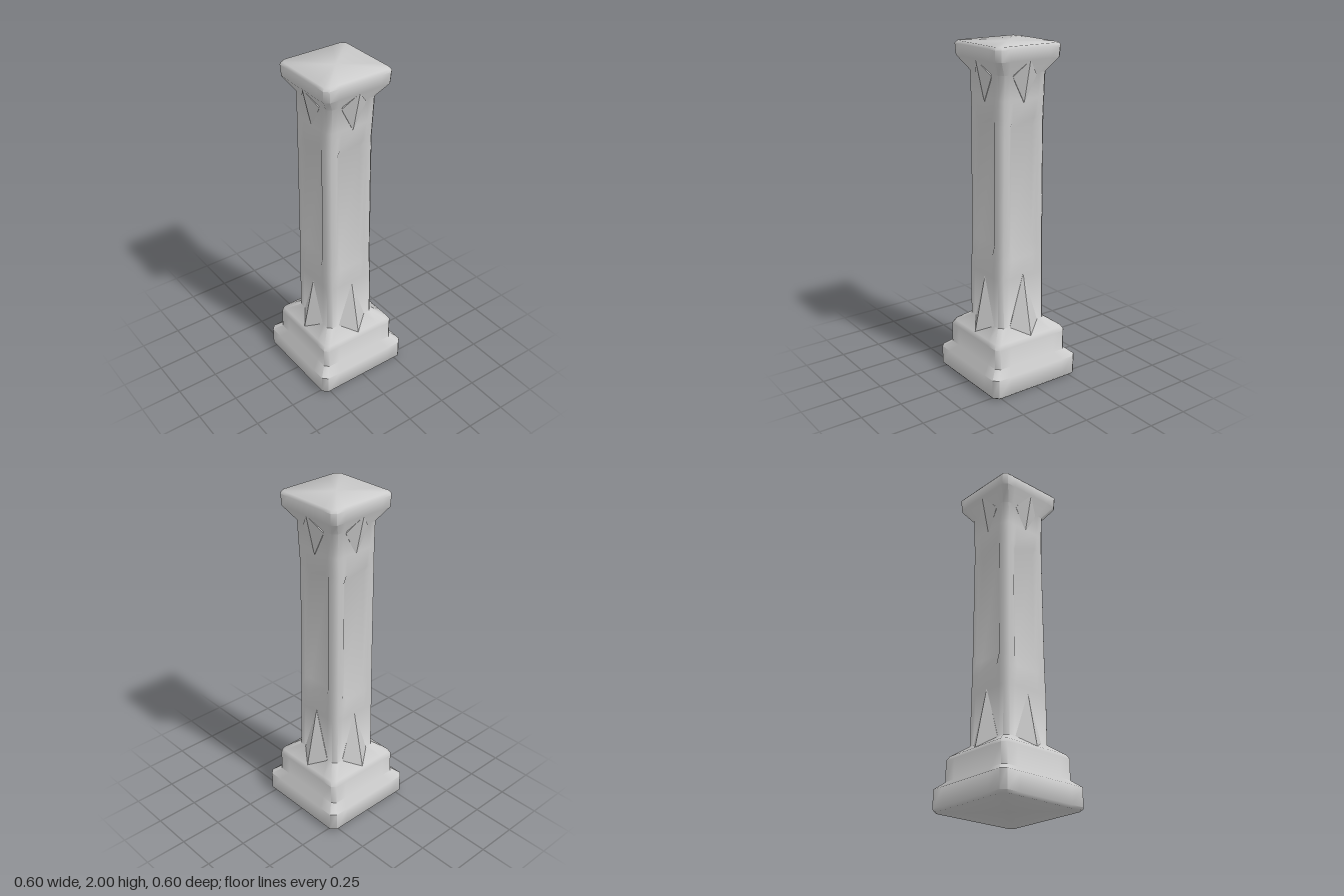
import * as THREE from 'three';
import { toCreasedNormals } from 'three/addons/utils/BufferGeometryUtils.js';
import { ConvexGeometry } from 'three/addons/geometries/ConvexGeometry.js';

// Rings from bottom to top: [y, half width, corner cut, panel depth, x offset, z offset]
const RINGS = [
  [0.00, 0.287, 0.028, 0, 0, 0],
  [0.015, 0.30, 0.028, 0, 0, 0],
  [0.125, 0.30, 0.028, 0, 0, 0],
  [0.165, 0.252, 0.024, 0, 0, 0],
  [0.285, 0.252, 0.024, 0, 0, 0],
  [0.31, 0.238, 0.024, 0, 0, 0],
  [0.365, 0.163, 0.024, 0, 0.002, 0.003],
  [0.66, 0.161, 0.024, 0, 0.002, 0.005],
  [0.78, 0.159, 0.024, 0, 0, 0.006],
  [0.86, 0.158, 0.024, 0.018, 0, 0.006],
  [1.54, 0.155, 0.024, 0.018, -0.003, 0.006],
  [1.59, 0.155, 0.024, 0, -0.003, 0.006],
  [1.70, 0.157, 0.024, 0, -0.002, 0.003],
  [1.84, 0.16, 0.024, 0, -0.001, 0.001],
  [1.92, 0.215, 0.024, 0, 0, 0],
  [1.985, 0.219, 0.024, 0, 0, 0],
  [2.00, 0.208, 0.022, 0, 0, 0],
];

// Square outline with cut corners and a shallow recess in the middle of each side
function ringPoints([y, half, cut, depth, ox, oz]) {
  const side = [
    [-(half - cut), half],
    [-half * 0.62, half],
    [-half * 0.46, half - depth],
    [half * 0.46, half - depth],
    [half * 0.62, half],
    [half - cut, half],
  ];
  const points = [];
  for (let k = 0; k < 4; k++) {
    const c = Math.round(Math.cos(k * Math.PI / 2)), s = Math.round(Math.sin(k * Math.PI / 2));
    for (const [a, b] of side) points.push([a * c + b * s + ox, y, b * c - a * s + oz]);
  }
  return points;
}

// Skin the rings and close both ends
function columnGeometry() {
  const rings = RINGS.map(ringPoints);
  const n = rings[0].length;
  const positions = rings.flat(2);
  const index = [];
  for (let r = 0; r < rings.length - 1; r++) {
    for (let i = 0; i < n; i++) {
      const a = r * n + i, b = r * n + (i + 1) % n;
      index.push(a, b, b + n, a, b + n, a + n);
    }
  }
  const bottom = positions.length / 3, top = bottom + 1, last = (rings.length - 1) * n;
  positions.push(0, 0, 0, 0, 2, 0);
  for (let i = 0; i < n; i++) {
    const j = (i + 1) % n;
    index.push(bottom, j, i, top, last + i, last + j);
  }
  const geometry = new THREE.BufferGeometry();
  geometry.setAttribute('position', new THREE.Float32BufferAttribute(positions, 3));
  geometry.setIndex(index);
  return toCreasedNormals(geometry, 0.95);
}

// Ridged spike: a point on the shaft, two side corners, a blunt outer tip and a buried back
function spikeGeometry(pointY, sideY, tipY, width, tipZ) {
  const v = (x, y, z) => new THREE.Vector3(x, y, z);
  return new ConvexGeometry([
    v(0, pointY, 0.157),
    v(-width, sideY, 0.163), v(width, sideY, 0.163),
    v(0, tipY, tipZ),
    v(0, pointY, 0.13), v(0, tipY, 0.13),
  ]);
}

export function createModel() {
  const model = new THREE.Group();
  model.name = 'column';
  const material = new THREE.MeshStandardMaterial({ color: 0xcccccc });
  const flat = new THREE.MeshStandardMaterial({ color: 0xcccccc, flatShading: true });

  const add = (name, geometry, mat, turn = 0) => {
    const mesh = new THREE.Mesh(geometry, mat);
    mesh.name = name;
    mesh.rotation.y = turn;
    model.add(mesh);
  };

  // Plinth, shaft and capital in one skin
  add('columnBody', columnGeometry(), material);

  // Spikes at the foot and under the capital, one of each per side
  const foot = spikeGeometry(0.68, 0.362, 0.3, 0.1, 0.238);
  const head = spikeGeometry(1.68, 1.83, 1.92, 0.08, 0.213);
  ['front', 'left', 'back', 'right'].forEach((side, k) => {
    add(side + 'FootSpike', foot, flat, k * Math.PI / 2);
    add(side + 'HeadSpike', head, flat, k * Math.PI / 2);
  });
  return model;
}
